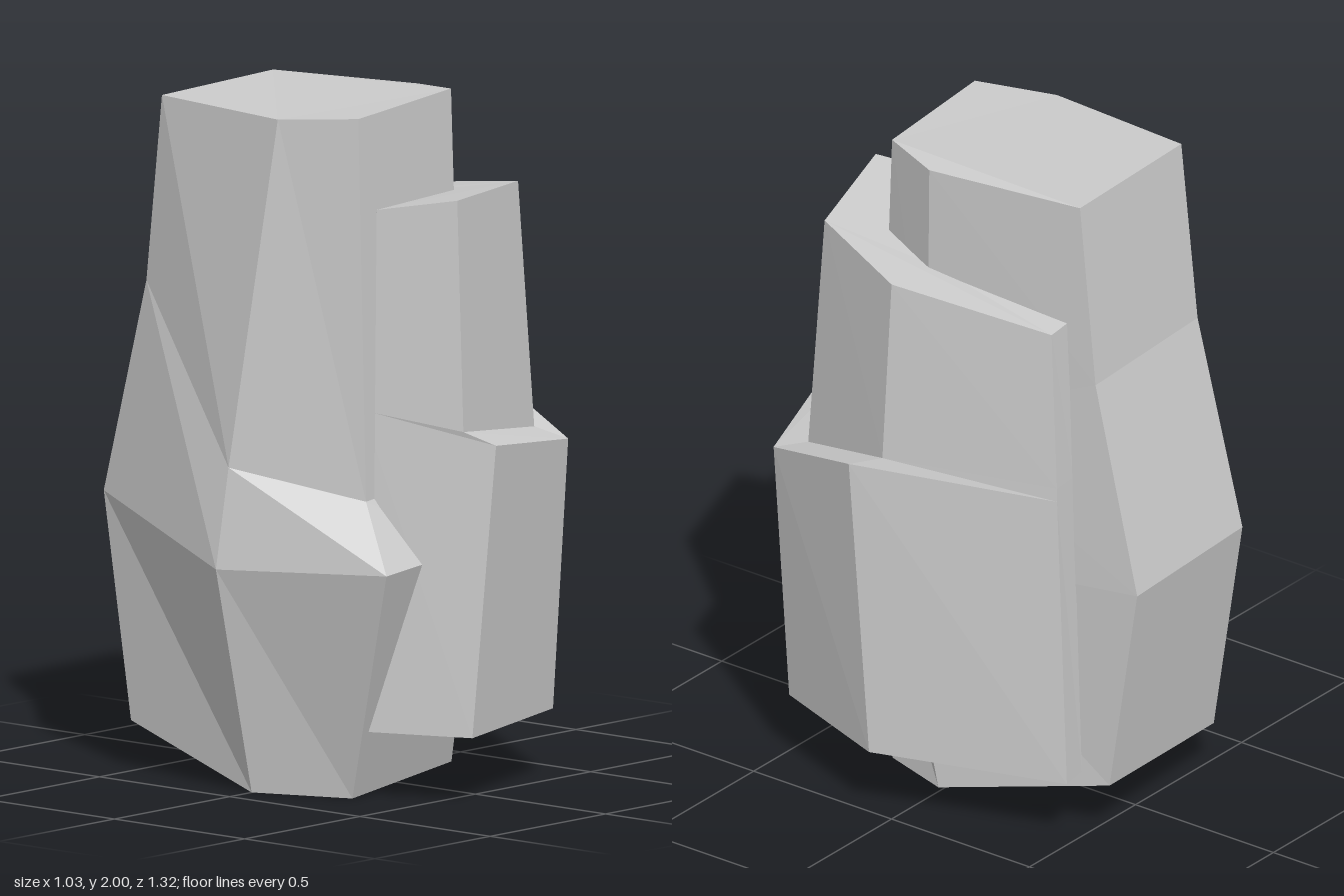
import * as THREE from 'three';

// Closed faceted solid from rings of corners, bottom to top, each ring
// running counter-clockwise when seen from above.
function loftRings(rings) {
  const n = rings[0].length;
  const pos = [];
  const tri = (a, b, c) => pos.push(...a, ...b, ...c);
  for (let r = 0; r < rings.length - 1; r++) {
    const lo = rings[r], hi = rings[r + 1];
    for (let i = 0; i < n; i++) {
      const j = (i + 1) % n;
      tri(lo[i], lo[j], hi[i]);
      tri(lo[j], hi[j], hi[i]);
    }
  }
  const cap = (ring, up) => {
    const outline = ring.map(([x, , z]) => new THREE.Vector2(x, -z));
    for (const [a, b, c] of THREE.ShapeUtils.triangulateShape(outline, [])) {
      if (up) tri(ring[a], ring[b], ring[c]);
      else tri(ring[a], ring[c], ring[b]);
    }
  };
  cap(rings[0], false);
  cap(rings[rings.length - 1], true);
  const geo = new THREE.BufferGeometry();
  geo.setAttribute('position', new THREE.Float32BufferAttribute(pos, 3));
  geo.computeVertexNormals();
  return geo;
}

export function createModel() {
  const group = new THREE.Group();
  group.name = 'rock';
  const stone = new THREE.MeshStandardMaterial({ color: 0xcccccc, flatShading: true });
  const add = (name, rings) => {
    const mesh = new THREE.Mesh(loftRings(rings), stone);
    mesh.name = name;
    group.add(mesh);
  };

  // Tall six-sided core; corners: side, front, front, side, back, back
  add('corePillar', [
    [[-0.405, 0, 0], [-0.29, 0, 0.285], [0.235, 0.03, 0.2],
      [0.305, 0.03, -0.02], [0.2, 0.16, -0.56], [-0.33, 0.14, -0.53]],
    // bulge with the jutting front corner
    [[-0.515, 0.66, -0.04], [-0.385, 0.685, 0.5], [0.1, 0.7, 0.42],
      [0.305, 0.75, 0.15], [0.2, 0.8, -0.66], [-0.335, 0.8, -0.63]],
    // shoulder
    [[-0.46, 0.95, -0.04], [-0.282, 0.87, 0.33], [0.2, 0.9, 0.27],
      [0.28, 1.2, 0.04], [0.195, 1.43, -0.505], [-0.325, 1.43, -0.475]],
    [[-0.365, 1.965, 0.065], [-0.27, 1.98, 0.29], [0.205, 2, 0.225],
      [0.27, 1.985, 0.04], [0.19, 1.98, -0.445], [-0.32, 1.975, -0.42]],
  ]);

  // Slab wrapped round the front and one side, with a ledge halfway up;
  // the last two corners are buried in the core
  add('steppedSlab', [
    [[-0.285, 0.2, 0.34], [-0.165, 0.2, 0.635], [0.365, 0.2, 0.475], [0.515, 0.2, 0.07],
      [0.33, 0.2, -0.505], [0.24, 0.2, -0.49], [0.3, 0.2, 0], [0, 0.2, 0.1]],
    // outer rim of the ledge
    [[-0.232, 1.04, 0.312], [-0.085, 1.045, 0.655], [0.38, 0.99, 0.52], [0.507, 1.1, 0.15],
      [0.302, 1.08, -0.448], [0.215, 1.08, -0.44], [0.26, 1.08, 0.02], [0, 1.04, 0.1]],
    // inner rim of the ledge
    [[-0.227, 1.12, 0.31], [-0.125, 1.08, 0.565], [0.34, 1.02, 0.425], [0.465, 1.13, 0.06],
      [0.3, 1.12, -0.446], [0.214, 1.12, -0.438], [0.26, 1.12, 0.02], [0, 1.12, 0.1]],
    [[-0.19, 1.705, 0.29], [-0.095, 1.745, 0.515], [0.315, 1.735, 0.385], [0.435, 1.68, 0.05],
      [0.285, 1.6, -0.415], [0.2, 1.605, -0.41], [0.25, 1.67, 0.03], [0, 1.69, 0.1]],
  ]);

  return group;
}
